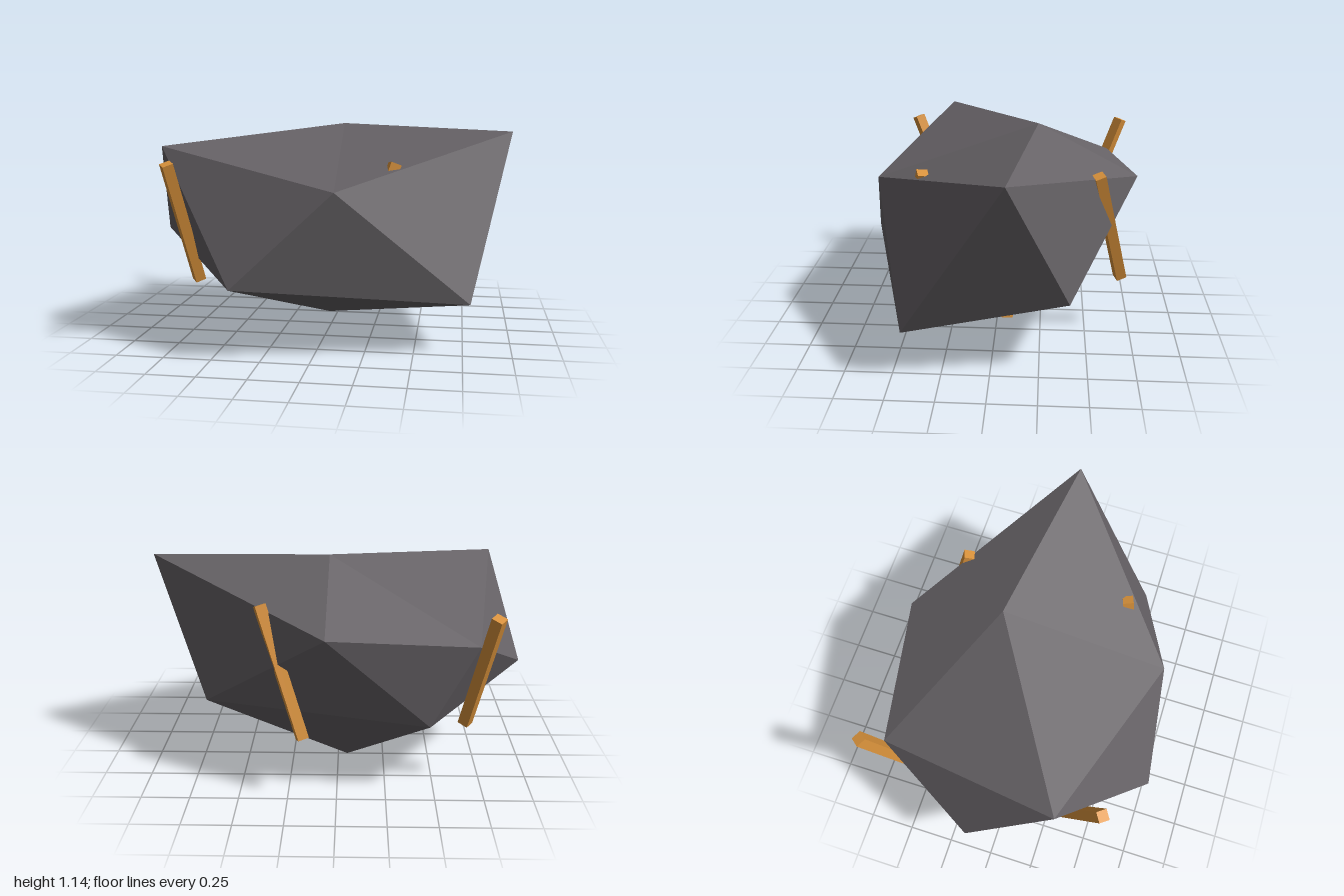
import * as THREE from 'three';

const rockGrey = new THREE.MeshStandardMaterial({ color: 0x666266 });
rockGrey.name = 'rockGrey';
rockGrey.flatShading = true;
const timberOrange = new THREE.MeshStandardMaterial({ color: 0xdc943c });
timberOrange.name = 'timberOrange';

// Irregular twenty-sided boulder: a peak, two rings of five corners, and a foot
function makeBoulder() {
  const peak = [0.045, 1.145, -0.22];
  const foot = [-0.05, 0, -0.25];
  const upper = [
    [-0.87, 1.04, 0.34], [0.11, 0.845, 0.655], [1, 1.11, -0.09],
    [0.055, 0.86, -0.765], [-0.705, 0.79, -0.645],
  ];
  const lower = [
    [-0.4, 0.365, 0.765], [0.785, 0.255, 0.445], [0.7, 0.39, -0.4],
    [-0.47, 0.372, -0.675], [-1, 0.52, -0.115],
  ];
  const corners = [];
  for (let i = 0; i < 5; i++) {
    const j = (i + 1) % 5;
    corners.push(peak, upper[i], upper[j]);
    corners.push(upper[i], lower[i], upper[j]);
    corners.push(lower[i], lower[j], upper[j]);
    corners.push(foot, lower[j], lower[i]);
  }
  const geometry = new THREE.BufferGeometry();
  geometry.setAttribute('position', new THREE.Float32BufferAttribute(corners.flat(), 3));
  geometry.computeVertexNormals();
  const boulder = new THREE.Mesh(geometry, rockGrey);
  boulder.name = 'boulder';
  return boulder;
}

// Square timber between two end points, rolled about its own length
function makeProp(name, top, bottom, roll) {
  const a = new THREE.Vector3(...top);
  const b = new THREE.Vector3(...bottom);
  const axis = a.clone().sub(b);
  const prop = new THREE.Mesh(new THREE.BoxGeometry(0.057, axis.length(), 0.057), timberOrange);
  prop.name = name;
  prop.position.copy(a).add(b).multiplyScalar(0.5);
  prop.quaternion.setFromUnitVectors(new THREE.Vector3(0, 1, 0), axis.normalize());
  prop.rotateY(roll);
  return prop;
}

export function createModel() {
  const model = new THREE.Group();
  model.name = 'proppedBoulder';
  model.add(
    makeBoulder(),
    // Five leaning timbers set in a ring, partly sunk into the rock
    makeProp('frontRightProp', [-0.77, 0.965, 0.56], [-0.69, 0.31, 0.305], 0.63),
    makeProp('backRightProp', [-0.77, 0.965, -0.725], [-0.67, 0.31, -0.48], -0.63),
    makeProp('backLeftProp', [0.385, 0.965, -0.535], [0.172, 0.31, -0.688], 0.33),
    makeProp('frontLeftProp', [0.385, 0.965, 0.365], [0.172, 0.31, 0.518], 0.33),
    makeProp('leftProp', [0.415, 0.96, -0.085], [0.677, 0.305, -0.085], 0),
  );
  return model;
}
